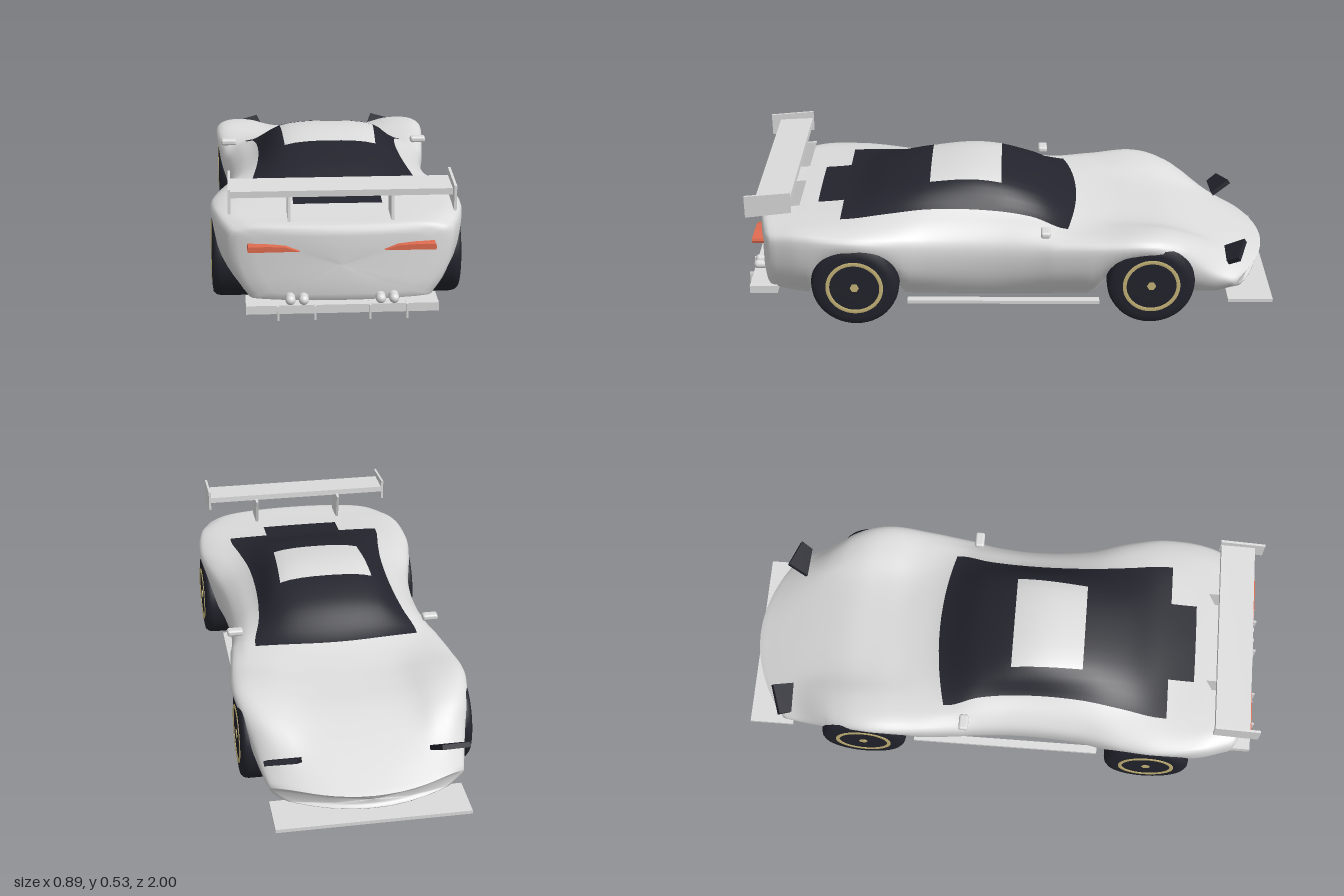
import * as THREE from 'three';
import { RoundedBoxGeometry } from 'three/addons/geometries/RoundedBoxGeometry.js';

const mat = (name, color) => Object.assign(new THREE.MeshStandardMaterial({ color }), { name });

const FRONT_AXLE = -0.53, REAR_AXLE = 0.575;

// Body stations: z, floor y, floor half-width, max half-width and its y,
// fender-top y, glass-edge x and y, roof-edge y, centre-line y
const STATIONS = [
  [-0.99, 0.10, 0.30, 0.345, 0.145, 0.16, 0.25, 0.165, 0.165, 0.165],
  [-0.88, 0.085, 0.32, 0.365, 0.18, 0.205, 0.27, 0.215, 0.215, 0.21],
  [-0.75, 0.08, 0.32, 0.39, 0.245, 0.285, 0.27, 0.285, 0.265, 0.26],
  [-0.62, 0.08, 0.32, 0.418, 0.31, 0.338, 0.29, 0.335, 0.305, 0.30],
  [-0.50, 0.075, 0.32, 0.43, 0.325, 0.352, 0.29, 0.345, 0.32, 0.315],
  [-0.38, 0.07, 0.32, 0.42, 0.31, 0.34, 0.29, 0.34, 0.33, 0.33],
  [-0.25, 0.065, 0.315, 0.402, 0.30, 0.338, 0.31, 0.35, 0.363, 0.365],
  [-0.10, 0.065, 0.315, 0.383, 0.29, 0.35, 0.28, 0.385, 0.44, 0.455],
  [0.10, 0.065, 0.315, 0.372, 0.29, 0.355, 0.265, 0.405, 0.487, 0.505],
  [0.30, 0.065, 0.315, 0.387, 0.30, 0.36, 0.27, 0.41, 0.475, 0.49],
  [0.46, 0.07, 0.32, 0.425, 0.325, 0.37, 0.29, 0.40, 0.44, 0.45],
  [0.60, 0.07, 0.32, 0.443, 0.345, 0.375, 0.31, 0.39, 0.397, 0.40],
  [0.80, 0.08, 0.33, 0.423, 0.345, 0.375, 0.30, 0.38, 0.38, 0.38],
  [0.93, 0.10, 0.32, 0.385, 0.33, 0.36, 0.28, 0.372, 0.375, 0.375],
];

// Smooth interpolation of one table column along z
function sample(table, z, col) {
  const n = table.length;
  z = THREE.MathUtils.clamp(z, table[0][0], table[n - 1][0]);
  let i = 0;
  while (i < n - 2 && z > table[i + 1][0]) i++;
  const slope = (k) => {
    const a = table[Math.max(k - 1, 0)], b = table[Math.min(k + 1, n - 1)];
    return (b[col] - a[col]) / (b[0] - a[0]);
  };
  const h = table[i + 1][0] - table[i][0], t = (z - table[i][0]) / h, t2 = t * t, t3 = t2 * t;
  return (2 * t3 - 3 * t2 + 1) * table[i][col] + (t3 - 2 * t2 + t) * h * slope(i)
    + (3 * t2 - 2 * t3) * table[i + 1][col] + (t3 - t2) * h * slope(i + 1);
}

// Rise of the underbody over each axle
const arch = (z) => [FRONT_AXLE, REAR_AXLE].reduce((sum, axle) =>
  sum + 0.15 * Math.max(0, 1 - ((z - axle) / 0.175) ** 2), 0);

// Half cross-section at z, from floor centre to roof centre
function section(z) {
  const [floor, wb, w, yw, s, g, gy, cy, t] = [1, 2, 3, 4, 5, 6, 7, 8, 9].map((c) => sample(STATIONS, z, c));
  const b = floor + arch(z);
  const c = THREE.MathUtils.mapLinear(THREE.MathUtils.clamp(z, 0.03, 0.63), 0.03, 0.63, 0.18, 0.155);
  return [[0, b], [wb * 0.85, b], [wb, b + (yw - b) * 0.1], [wb + 0.78 * (w - wb), (b + yw) / 2],
    [w, yw], [w - 0.04, s], [g, gy], [c, cy], [0, t]];
}

const catmull = (a, b, c, d, t) =>
  0.5 * (2 * b + (c - a) * t + (2 * a - 5 * b + 4 * c - d) * t * t + (3 * b - a - 3 * c + d) * t ** 3);

// Sweep of the nose, windscreen and tail in plan
const SWEEP = [[-1, 1.1], [-0.7, 0.3], [-0.5, 0.1], [-0.24, 0.45], [0.03, 0], [0.7, 0], [0.95, -0.35]];
function sweep(z) {
  let i = 0;
  while (i < SWEEP.length - 2 && z > SWEEP[i + 1][0]) i++;
  return THREE.MathUtils.mapLinear(z, SWEEP[i][0], SWEEP[i + 1][0], SWEEP[i][1], SWEEP[i + 1][1]);
}

function bodyGeometry() {
  const SUB = 4, HALF = 8 * SUB, LOOP = 2 * HALF;
  // rows: z, scale of the end caps, cap centre height
  const rows = [[-0.968, 0, 0.13], [-0.97, 0.45, 0.13], [-0.975, 0.75, 0.13], [-0.988, 0.93, 0.13]];
  const breaks = [-0.99, -0.26, 0.03, 0.30, 0.63, 0.73, 0.93];
  for (let k = 0; k < breaks.length - 1; k++) {
    const n = Math.ceil((breaks[k + 1] - breaks[k]) / 0.025);
    for (let i = 0; i < n; i++) rows.push([THREE.MathUtils.lerp(breaks[k], breaks[k + 1], i / n), 1, 0]);
  }
  rows.push([0.93, 1, 0], [0.945, 0.97, 0.24], [0.954, 0.9, 0.24], [0.957, 0.75, 0.24], [0.957, 0.4, 0.24], [0.955, 0, 0.24]);
  const pos = [], paint = [], glass = [];
  rows.forEach(([z, scale, cy]) => {
    const p = section(z);
    const at = (i) => (i < 0 ? [-p[1][0], p[1][1]] : i > 8 ? [-p[7][0], p[7][1]] : p[i]);
    for (let j = 0; j < LOOP; j++) {
      const jj = j <= HALF ? j : LOOP - j, i = Math.min(Math.floor(jj / SUB), 7), t = jj / SUB - i;
      const [x0, y0] = [0, 1].map((k) => catmull(at(i - 1)[k], at(i)[k], at(i + 1)[k], at(i + 2)[k], t));
      const x = (j <= HALF ? x0 : -x0) * scale, y = cy + (y0 - cy) * scale;
      pos.push(x, y, z + sweep(z) * (x * x + 0.3 * Math.max(0, 0.16 - y)));
    }
  });
  for (let r = 0; r < rows.length - 1; r++) {
    const z = (rows[r][0] + rows[r + 1][0]) / 2;
    for (let j = 0; j < LOOP; j++) {
      const u = Math.min(j + 0.5, LOOP - j - 0.5) / SUB;
      const isGlass = u > 7 ? (z > -0.26 && z < 0.73 && !(z > 0.03 && z < 0.3)) : u > 6 && z > -0.26 && z < 0.63;
      const a = r * LOOP + j, b = r * LOOP + (j + 1) % LOOP, c = a + LOOP, d = b + LOOP;
      (isGlass ? glass : paint).push(a, b, c, b, d, c);
    }
  }
  const g = new THREE.BufferGeometry();
  g.setAttribute('position', new THREE.Float32BufferAttribute(pos, 3));
  g.setIndex([...paint, ...glass]);
  g.addGroup(0, paint.length, 0);
  g.addGroup(paint.length, glass.length, 1);
  g.computeVertexNormals();
  return g;
}

export function createModel() {
  const car = new THREE.Group();
  car.name = 'raceCar';
  const white = mat('bodyWhite', 0xdcdcdc), dark = mat('darkGlassAndRubber', 0x23242d);
  const gold = mat('rimGold', 0xc8b679), red = mat('tailLightRed', 0xe06c50);

  const add = (name, geo, m, x = 0, y = 0, z = 0, parent = car) => {
    const mesh = new THREE.Mesh(geo, m);
    mesh.name = name;
    mesh.position.set(x, y, z);
    parent.add(mesh);
    return mesh;
  };
  const box = (name, m, w, h, d, x, y, z) => add(name, new THREE.BoxGeometry(w, h, d), m, x, y, z);
  const plate = (pts, depth) => new THREE.ExtrudeGeometry(
    new THREE.Shape(pts.map((p) => new THREE.Vector2(...p))), { depth, bevelEnabled: false });

  add('body', bodyGeometry(), [white, dark]);

  // Wheels: rounded tyre, gold rim ring and hub
  const tyre = new THREE.LatheGeometry([[0, -0.0825], [0.125, -0.0825], [0.15, -0.079], [0.16, -0.068], [0.164, -0.05],
    [0.164, 0.05], [0.16, 0.068], [0.15, 0.079], [0.125, 0.0825], [0, 0.0825]].map((p) => new THREE.Vector2(...p)), 48);
  const ring = new THREE.LatheGeometry([[0.107, 0], [0.107, 0.003], [0.093, 0.003], [0.093, 0]]
    .map((p) => new THREE.Vector2(...p)), 48);
  const hub = new THREE.CylinderGeometry(0.017, 0.017, 0.005, 6);

  for (const s of [1, -1]) {
    const side = s > 0 ? 'Left' : 'Right';
    for (const [end, x, z, width] of [['front', 0.348, FRONT_AXLE, 0.9], ['rear', 0.358, REAR_AXLE, 1]]) {
      const wheel = new THREE.Group();
      wheel.name = `${end}${side}Wheel`;
      wheel.position.set(s * x, 0.168, z);
      wheel.rotation.z = -s * Math.PI / 2;
      wheel.scale.y = width;
      add('tyre', tyre, dark, 0, 0, 0, wheel);
      add('rimRing', ring, gold, 0, 0.0825, 0, wheel);
      add('hub', hub, gold, 0, 0.083, 0, wheel);
      car.add(wheel);
    }

    // Side skirt and mirror
    box(`skirt${side}`, white, 0.03, 0.013, 0.725, s * 0.362, 0.071, 0.022);
    add(`mirror${side}`, new RoundedBoxGeometry(0.06, 0.024, 0.036, 3, 0.009), white, s * 0.378, 0.369, -0.135);

    // Raised headlight plate, outlined in plan and tilted up at the front
    const lens = [[0.068, 0.005], [-0.042, 0.047], [-0.069, -0.036], [0.048, -0.042]].map(([x, y]) => [s * x, y]);
    const lamp = add(`headlight${side}`, plate(lens, 0.018).rotateX(-Math.PI / 2), dark, s * 0.297, 0.24, -0.86);
    lamp.rotation.x = 0.55;

    // Tapered tail light
    const outline = [[0.315, 0.291], [0.318, 0.3], [0.315, 0.31], [0.25, 0.311], [0.19, 0.308], [0.143, 0.292]]
      .map(([x, y]) => [s * x, y]);
    add(`tailLight${side}`, plate(outline, 0.048), red, 0, 0, 0.915);

    // Wing strut and end plate, drawn in the z-y plane
    const strut = plate([[-0.89, 0.482], [-0.90, 0.375], [-0.80, 0.375], [-0.765, 0.485]], 0.01);
    add(`wingStrut${side}`, strut.rotateY(Math.PI / 2), white, s * 0.175 - 0.005);
    const end = plate([[-0.97, 0.43], [-0.80, 0.45], [-0.80, 0.53], [-0.97, 0.515]], 0.009);
    add(`wingEndPlate${side}`, end.rotateY(Math.PI / 2), white, s * 0.375 - 0.0045);

    // Exhaust pipes and diffuser fins
    for (const x of [0.13, 0.175])
      add(`exhaust${side}`, new THREE.CapsuleGeometry(0.017, 0.06, 8, 20).rotateX(Math.PI / 2), white, s * x, 0.124, 0.943);
    for (const x of [0.092, 0.217])
      box(`diffuserFin${side}`, white, 0.007, 0.05, 0.1, s * x, 0.086, 0.95);
  }

  // Wing plank, diffuser and front splitter
  box('wingPlank', white, 0.745, 0.022, 0.13, 0, 0.488, 0.868).rotation.x = 0.05;
  box('diffuser', white, 0.65, 0.03, 0.105, 0, 0.095, 0.933);
  box('splitter', white, 0.692, 0.013, 0.17, 0, 0.063, -0.915);
  return car;
}
